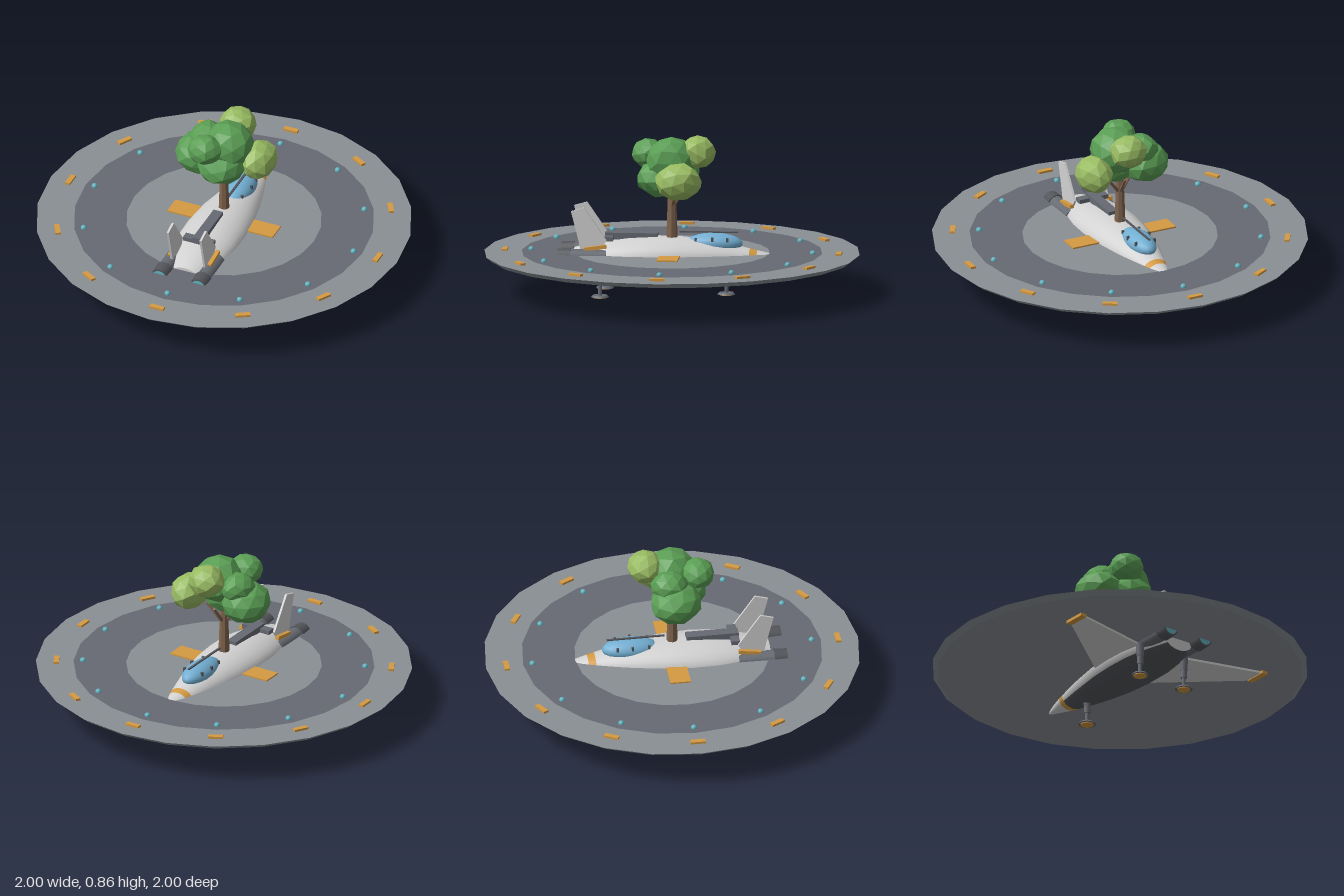
import * as THREE from 'three';

const paint = (name, color) => Object.assign(new THREE.MeshStandardMaterial({ color }), { name });

export function createModel() {
  const root = new THREE.Group();
  const hull = paint('hull white', 0xd2d2d2), belly = paint('belly charcoal', 0x54565b);
  const grey = paint('pad grey', 0x8a8f95), slate = paint('slate', 0x666a72);
  const orange = paint('marking orange', 0xd49a42), teal = paint('light teal', 0x62b4c0);
  const glass = paint('canopy blue', 0x72aed2), green = paint('leaf green', 0x5a9e54);
  const lime = paint('leaf lime', 0x98bb62), bark = paint('bark brown', 0x80644e);

  const add = (name, geo, mat, x = 0, y = 0, z = 0) => {
    const m = new THREE.Mesh(geo, mat);
    m.name = name;
    m.position.set(x, y, z);
    root.add(m);
    return m;
  };
  const box = (name, w, h, d, mat, x, y, z) => add(name, new THREE.BoxGeometry(w, h, d), mat, x, y, z);
  const cyl = (name, rt, rb, h, n, mat, x, y, z) => add(name, new THREE.CylinderGeometry(rt, rb, h, n), mat, x, y, z);
  // Cylinder lying along z; the top radius is at the +z end
  const tubeZ = (name, rBack, rFront, z0, z1, mat, x, y) =>
    add(name, new THREE.CylinderGeometry(rBack, rFront, z1 - z0, 16).rotateX(Math.PI / 2), mat, x, y, (z0 + z1) / 2);
  const slab = (points, depth) => new THREE.ExtrudeGeometry(
    new THREE.Shape(points.map(([a, b]) => new THREE.Vector2(a, b))), { depth, bevelEnabled: false });

  // Landing disc with a darker ring on top
  cyl('disc', 1, 0.97, 0.025, 24, grey, 0, 0.2125, 0);
  add('discRing', new THREE.RingGeometry(0.52, 0.8, 24, 1, Math.PI / 2).rotateX(-Math.PI / 2), slate, 0, 0.228, 0);
  for (let i = 0; i < 12; i++) {
    const a = i * Math.PI / 6, s = Math.sin(a), c = Math.cos(a);
    box('edgeMarker', 0.08, 0.012, 0.028, orange, 0.89 * s, 0.231, 0.89 * c).rotation.y = a;
    add('discLight', new THREE.SphereGeometry(0.016, 10, 8), teal, 0.75 * s, 0.231, 0.75 * c);
  }
  box('centreStripe', 0.61, 0.008, 0.11, orange, 0, 0.229, 0);

  // Fuselage cross-sections: z, half width, bottom, top
  const sections = [
    [-0.62, 0.004, 0.186, 0.194], [-0.6, 0.014, 0.178, 0.205], [-0.53, 0.038, 0.165, 0.226],
    [-0.455, 0.062, 0.15, 0.243], [-0.415, 0.072, 0.143, 0.252], [-0.3, 0.103, 0.126, 0.278],
    [-0.2, 0.127, 0.115, 0.295], [-0.05, 0.156, 0.106, 0.31], [0.1, 0.17, 0.103, 0.313],
    [0.23, 0.168, 0.106, 0.305], [0.35, 0.148, 0.114, 0.287], [0.45, 0.115, 0.125, 0.265], [0.52, 0.085, 0.137, 0.245]];
  const N = 24, pos = [], lists = [[], [], []];
  sections.forEach(([z, w, b, t], i) => {
    for (let j = 0; j < N; j++) {
      const a = j / N * Math.PI * 2;
      pos.push(w * Math.cos(a), (b + t) / 2 + (t - b) / 2 * Math.sin(a), z);
      if (i === sections.length - 1) continue;
      const p = i * N + j, q = i * N + (j + 1) % N;
      const kind = i === 3 ? 2 : i > 3 && Math.sin(a + Math.PI / N) < -0.5 ? 1 : 0;
      lists[kind].push(p, q, p + N, q, q + N, p + N);
    }
  });
  const body = new THREE.BufferGeometry();
  body.setAttribute('position', new THREE.Float32BufferAttribute(pos, 3));
  body.setIndex(lists.flat());
  let start = 0;
  lists.forEach((l, k) => { body.addGroup(start, l.length, k); start += l.length; });
  body.computeVertexNormals();
  add('fuselage', body, [hull, belly, orange]);
  add('tailCap', new THREE.CircleGeometry(1, 24), hull, 0, 0.191, 0.52).scale.set(0.085, 0.054, 1);

  // Canopy with frame
  add('canopy', new THREE.SphereGeometry(1, 20, 14), glass, 0, 0.278, -0.225).scale.set(0.072, 0.056, 0.152);
  box('canopyRail', 0.012, 0.006, 0.31, belly, 0, 0.338, -0.195);
  for (const z of [-0.13, -0.22, -0.3]) {
    const k = Math.sqrt(1 - ((z + 0.225) / 0.152) ** 2);
    for (const s of [-1, 1]) box('canopyRib', 0.012, 0.022, 0.012, belly, s * 0.062 * k, 0.278 + 0.03 * k, z);
  }

  // Dorsal spine
  box('spine', 0.055, 0.035, 0.28, slate, 0, 0.313, 0.215);
  box('spineCrossbar', 0.17, 0.022, 0.045, slate, 0, 0.305, 0.33);

  for (const s of [-1, 1]) {
    // Engines
    tubeZ('engine', 0.045, 0.042, 0.34, 0.54, slate, s * 0.112, 0.21);
    tubeZ('nozzle', 0.046, 0.05, 0.53, 0.6, belly, s * 0.112, 0.21);
    add('engineGlow', new THREE.CircleGeometry(0.038, 16), teal, s * 0.112, 0.21, 0.602);
    box('engineMarking', 0.022, 0.02, 0.12, orange, s * 0.115, 0.262, 0.4).rotation.x = 0.15;

    // Tail fins
    const fin = slab([[-0.53, 0.455], [-0.46, 0.475], [-0.34, 0.3], [-0.37, 0.25], [-0.48, 0.25], [-0.49, 0.3]], 0.012);
    add('tailFin', fin.rotateY(Math.PI / 2), hull, s * 0.095 - 0.006, 0, 0);

    // Swept wings below the disc
    const wing = slab([[s * 0.1, -0.06], [s * 0.6, 0.36], [s * 0.6, 0.47], [s * 0.1, 0.35]], 0.012);
    add('wing', wing.rotateX(Math.PI / 2), hull, 0, 0.199, 0);
    box('wingTip', 0.036, 0.016, 0.13, orange, s * 0.602, 0.191, 0.415);
  }

  // Landing gear
  for (const [x, z] of [[-0.145, 0.37], [0.145, 0.37], [0, -0.29]]) {
    cyl('gearHousing', 0.024, 0.02, 0.07, 10, slate, x, 0.15, z);
    cyl('gearSleeve', 0.018, 0.018, 0.06, 10, slate, x, 0.1, z);
    cyl('gearStrut', 0.011, 0.011, 0.1, 10, slate, x, 0.055, z);
    cyl('gearFoot', 0.04, 0.048, 0.01, 10, slate, x, 0.009, z);
    cyl('footSole', 0.036, 0.036, 0.004, 10, orange, x, 0.002, z);
  }

  // Tree trunk and branches
  for (const m of [bark, green, lime]) m.flatShading = true;
  cyl('trunk', 0.019, 0.031, 0.32, 8, bark, 0, 0.45, 0);
  for (const [x, z] of [[-0.09, 0.02], [0.09, -0.03], [0.01, -0.08]]) {
    const a = new THREE.Vector3(0, 0.47, 0), b = new THREE.Vector3(x, 0.58, z);
    const branch = cyl('branch', 0.007, 0.011, a.distanceTo(b), 6, bark, 0, 0, 0);
    branch.position.lerpVectors(a, b, 0.5);
    branch.quaternion.setFromUnitVectors(new THREE.Vector3(0, 1, 0), b.sub(a).normalize());
  }

  // Faceted foliage clumps: centre, radii, colour
  const clumps = [
    [0.03, 0.725, 0, 0.135, 0.127, 0.135, green], [-0.14, 0.63, 0, 0.13, 0.108, 0.14, green],
    [0.01, 0.625, 0.06, 0.13, 0.1, 0.13, green], [-0.055, 0.75, 0.13, 0.095, 0.08, 0.09, green],
    [-0.11, 0.72, -0.03, 0.09, 0.08, 0.1, green],
    [0.18, 0.635, -0.05, 0.098, 0.1, 0.125, lime], [0.02, 0.77, -0.14, 0.1, 0.088, 0.095, lime]];
  clumps.forEach(([x, y, z, rx, ry, rz, mat], k) => {
    const geo = new THREE.IcosahedronGeometry(1, 1).rotateY(k * 1.3).rotateX(k * 0.7);
    const p = geo.attributes.position, v = new THREE.Vector3();
    for (let i = 0; i < p.count; i++) {
      v.fromBufferAttribute(p, i);
      v.multiplyScalar(1 + 0.06 * Math.sin(v.x * 5 + k) * Math.cos(v.y * 4 + v.z * 3));
      p.setXYZ(i, v.x * rx, v.y * ry, v.z * rz);
    }
    geo.computeVertexNormals();
    add('foliage', geo, mat, x, y, z);
  });
  return root;
}
